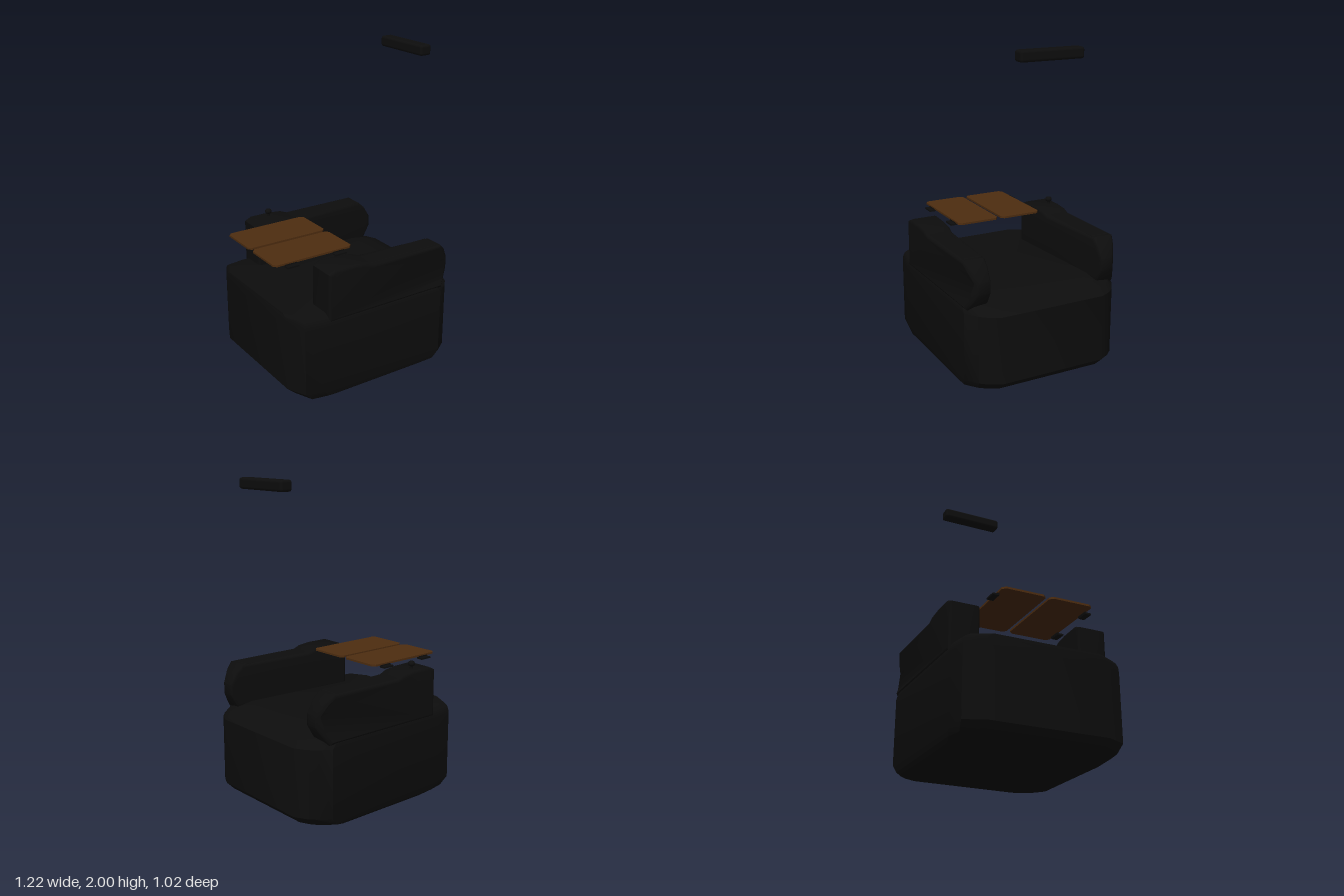
import * as THREE from 'three';
import { toCreasedNormals } from 'three/addons/utils/BufferGeometryUtils.js';
import { RoundedBoxGeometry } from 'three/addons/geometries/RoundedBoxGeometry.js';

const black = new THREE.MeshStandardMaterial({ color: 0x0d0d0d });
black.name = 'black leather';
const wood = new THREE.MeshStandardMaterial({ color: 0x4e2d10 });
wood.name = 'brown wood';

function add(parent, name, geometry, material, x = 0, y = 0, z = 0) {
  const mesh = new THREE.Mesh(geometry, material);
  mesh.name = name;
  mesh.position.set(x, y, z);
  parent.add(mesh);
  return mesh;
}

// Base: one chamfered plan, scaled level by level
function baseGeometry() {
  const half = [[0.605, 0.34], [0.57, 0.41], [0.53, 0.455], [0.45, 0.51], [-0.42, 0.51], [-0.535, 0.49], [-0.59, 0.37]];
  const plan = [...half, ...half.map(([x, z]) => [x, -z]).reverse()];
  const levels = [ // height, reach to -x, reach to +x, half depth
    [0, 0.3, 0.33, 0.43], [0.012, 0.42, 0.45, 0.465], [0.04, 0.535, 0.555, 0.498],
    [0.09, 0.59, 0.605, 0.51], [0.51, 0.59, 0.605, 0.51], [0.545, 0.59, 0.56, 0.505],
    [0.565, 0.59, 0.48, 0.49], [0.58, 0.588, 0.4, 0.46],
  ];
  const n = plan.length, pos = [], index = [];
  for (const [y, left, right, depth] of levels) {
    for (const [x, z] of plan) pos.push(x < 0 ? x * left / 0.59 : x * right / 0.605, y, z * depth / 0.51);
  }
  for (let l = 0; l < levels.length - 1; l++) {
    for (let i = 0; i < n; i++) {
      const a = l * n + i, b = l * n + (i + 1) % n;
      index.push(a, a + n, b + n, a, b + n, b);
    }
  }
  const top = (levels.length - 1) * n, low = pos.length / 3;
  pos.push(0, 0, 0, 0, 0.58, 0);
  for (let i = 0; i < n; i++) {
    const j = (i + 1) % n;
    index.push(low, i, j, low + 1, top + j, top + i);
  }
  const g = new THREE.BufferGeometry();
  g.setAttribute('position', new THREE.Float32BufferAttribute(pos, 3));
  g.setIndex(index);
  return toCreasedNormals(g, 0.6);
}

// Arm: side profile extruded, then narrowed towards +x
function armGeometry(side) {
  const bevel = 0.02;
  const shape = new THREE.Shape([
    [-0.36, 0.55], [0.45, 0.55], [0.475, 0.585], [0.51, 0.645], [0.51, 0.705], [0.472, 0.77],
    [0.432, 0.806], [-0.07, 0.806], [-0.12, 0.826], [-0.2, 0.834], [-0.33, 0.834], [-0.36, 0.82],
  ].map(([x, y]) => new THREE.Vector2(x, y)));
  const g = new THREE.ExtrudeGeometry(shape, {
    depth: 0.15, bevelSize: bevel, bevelThickness: bevel, bevelSegments: 3,
  });
  const p = g.attributes.position;
  for (let i = 0; i < p.count; i++) {
    const x = p.getX(i), t = (p.getZ(i) + bevel) / 0.19;
    const inner = 0.317 + 0.05 * (x + 0.38) / 0.83;
    const outer = 0.51 - Math.max(0, x - 0.45) * 0.65;
    p.setZ(i, side > 0 ? inner + (outer - inner) * t : -outer + (outer - inner) * t);
  }
  g.deleteAttribute('normal');
  return toCreasedNormals(g, 0.6);
}

// Table leaf with clipped corners
function leafGeometry(w, d, h) {
  const c = 0.02, x = w / 2, z = d / 2;
  const shape = new THREE.Shape([
    [-x + c, -z], [x - c, -z], [x, -z + c], [x, z - c], [x - c, z], [-x + c, z], [-x, z - c], [-x, -z + c],
  ].map(([a, b]) => new THREE.Vector2(a, b)));
  return new THREE.ExtrudeGeometry(shape, { depth: h, bevelEnabled: false }).rotateX(-Math.PI / 2);
}

export function createModel() {
  const model = new THREE.Group();
  model.name = 'armchair';

  add(model, 'seatBase', baseGeometry(), black);

  for (const side of [1, -1]) {
    const name = side > 0 ? 'front' : 'rear';
    add(model, name + 'Arm', armGeometry(side), black);
    // Thin cushion on the lower part of the arm top
    add(model, name + 'ArmPad', new RoundedBoxGeometry(0.5, 0.02, 0.115, 2, 0.006), black, 0.17, 0.82, side * 0.432);

    // Folding table leaf and its hinges
    add(model, name + 'TableLeaf', leafGeometry(0.54, 0.274, 0.012), wood, -0.34, 0.855, side * 0.149);
    for (const x of [-0.5, -0.17]) {
      add(model, name + 'TableHinge', new THREE.BoxGeometry(0.08, 0.01, 0.04), black, x, 0.846, side * 0.297);
      add(model, name + 'HingeTab', new THREE.BoxGeometry(0.08, 0.012, 0.012), black, x, 0.852, side * 0.281);
    }
  }

  // Control knob on the rear arm
  const knob = new THREE.Group();
  knob.name = 'controlKnob';
  knob.position.set(-0.23, 0.84, -0.45);
  model.add(knob);
  add(knob, 'knobStem', new THREE.CylinderGeometry(0.009, 0.012, 0.05, 12), black, 0, 0.015, 0);
  add(knob, 'knobCap', new THREE.SphereGeometry(0.022, 16, 10).scale(1, 0.8, 1), black, 0, 0.044, 0);

  // Floating headrest bar
  add(model, 'headrestBar', new RoundedBoxGeometry(0.08, 0.066, 0.405, 3, 0.016), black, 0.517, 1.967, 0);

  return model;
}
